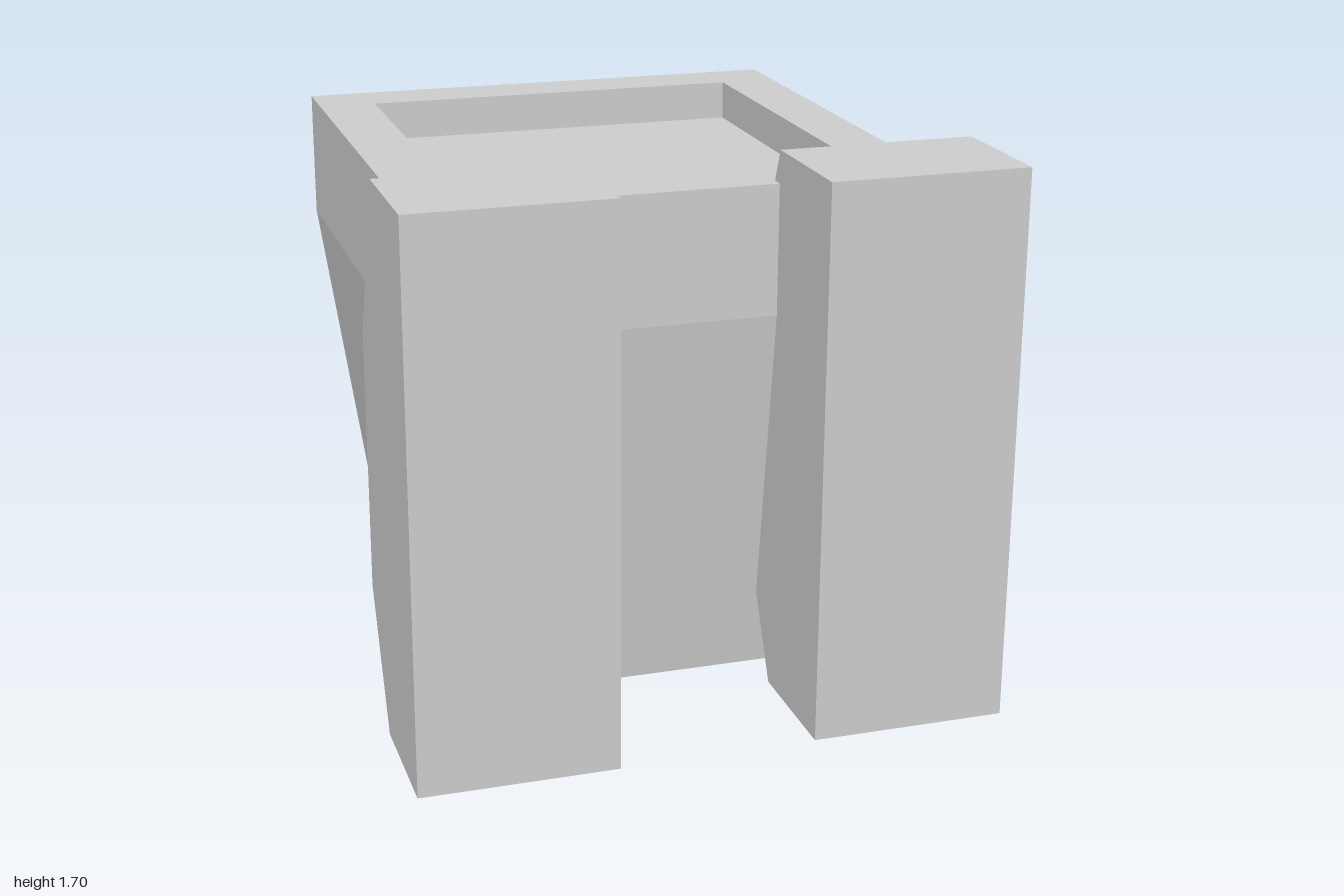
import * as THREE from 'three';

const material = new THREE.MeshStandardMaterial({ color: 0xcccccc, flatShading: true });

// Square planter: a four-sided lathe of [half width, height], with a sunken fill
function createPlanter() {
  const profile = [[0, 0], [0.64, 0], [0.8, 1.2], [0.8, 1.6], [0.617, 1.6], [0.617, 1.475], [0, 1.475]]
    .map(([halfWidth, y]) => new THREE.Vector2(halfWidth * Math.SQRT2, y));
  const geometry = new THREE.LatheGeometry(profile, 4, Math.PI / 4).toNonIndexed();
  geometry.computeVertexNormals();
  const planter = new THREE.Mesh(geometry, material);
  planter.name = 'planter';
  planter.position.z = -0.2;
  return planter;
}

// Upright post with a chamfered back, its side profile given as [z, y]
function createPost(name, x) {
  const profile = [[1, 0], [1, 1.7], [0.6, 1.7], [0.4, 1.2], [0.4, 0.4], [0.6, 0]]
    .map(([z, y]) => new THREE.Vector2(z, y));
  const geometry = new THREE.ExtrudeGeometry(new THREE.Shape(profile), { depth: 0.6, bevelEnabled: false });
  geometry.translate(0, 0, -0.3).rotateY(-Math.PI / 2);
  const post = new THREE.Mesh(geometry, material);
  post.name = name;
  post.position.x = x;
  return post;
}

export function createModel() {
  const model = new THREE.Group();
  model.name = 'planterWithPosts';
  model.add(createPlanter(), createPost('leftPost', 0.6), createPost('rightPost', -0.6));
  return model;
}
